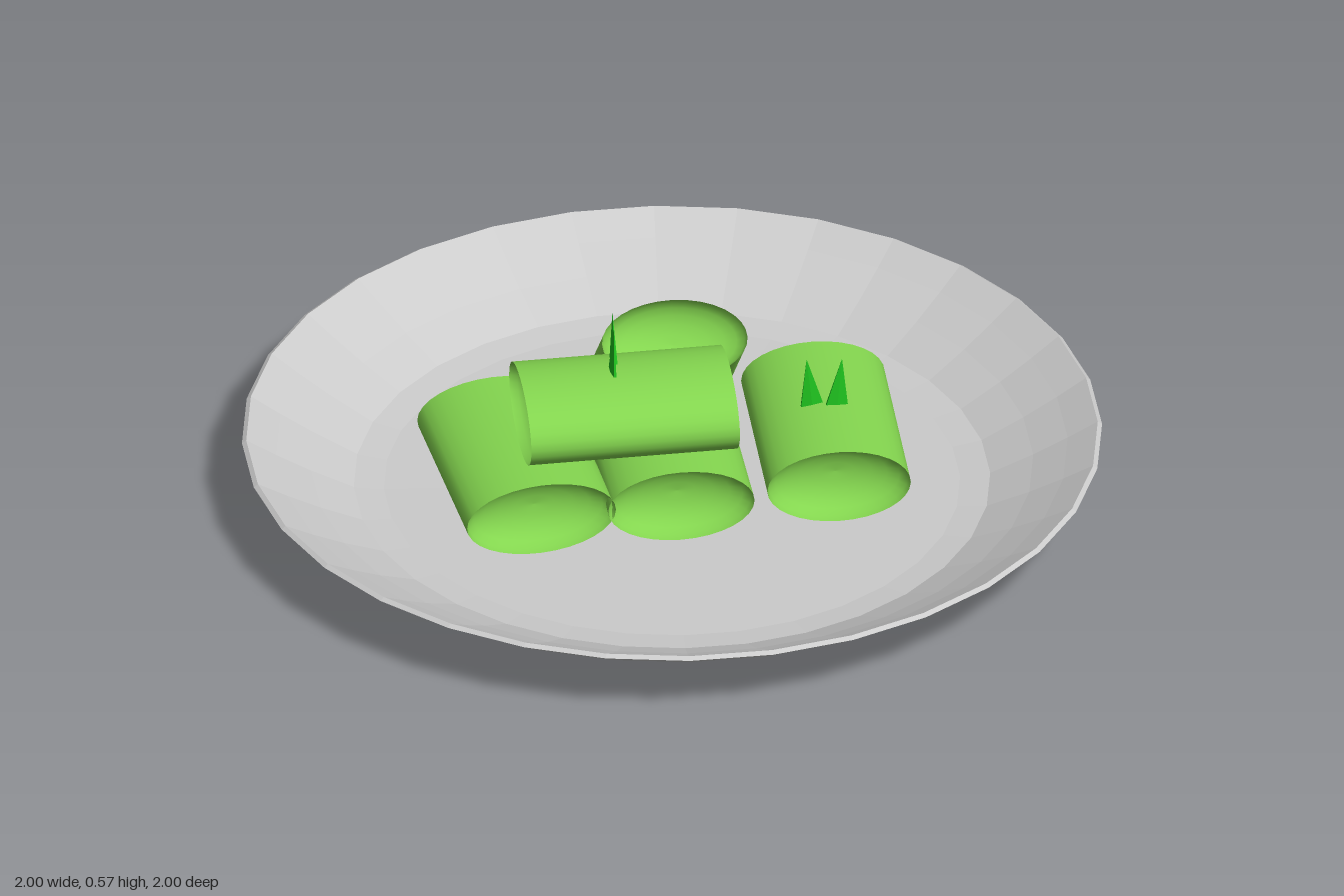
import * as THREE from 'three';
import { mergeGeometries } from 'three/addons/utils/BufferGeometryUtils.js';

const rad = THREE.MathUtils.degToRad;
const rollLength = 0.49;

// Oval roll lying along z, with both ends hollowed
function rollGeometry() {
  const half = rollLength / 2, depth = 0.07;
  const side = new THREE.CylinderGeometry(1, 1, rollLength, 32, 1, true);
  const dish = [];
  for (let i = 0; i <= 6; i++) {
    const a = (i / 6) * Math.PI / 2;
    dish.push(new THREE.Vector2(i === 6 ? 0 : Math.cos(a), half - depth * Math.sin(a)));
  }
  const top = new THREE.LatheGeometry(dish, 32);
  const bottom = top.clone().rotateX(Math.PI);
  return mergeGeometries([side, top, bottom]).rotateX(Math.PI / 2);
}

export function createModel() {
  const group = new THREE.Group();
  const grey = new THREE.MeshStandardMaterial({ color: 0xcccccc, flatShading: true });
  const rollGreen = new THREE.MeshStandardMaterial({ color: 0x84d64f, side: THREE.DoubleSide });
  const leafGreen = new THREE.MeshStandardMaterial({ color: 0x1fc41f, flatShading: true });

  // Plate: underside, rim, then the inner slope and floor
  const profile = [
    [0, 0.015], [0.63, 0.015], [0.72, 0.022], [0.84, 0.08], [0.93, 0.13], [1, 0.177],
    [0.99, 0.184], [0.92, 0.142], [0.84, 0.098], [0.74, 0.05], [0.67, 0.042], [0, 0.04],
  ].map(([x, y]) => new THREE.Vector2(x, y));
  const plate = new THREE.Mesh(new THREE.LatheGeometry(profile, 32), grey);
  plate.name = 'plate';
  group.add(plate);

  // Rolls: name, centre, turn, tilt, half width, half height
  const base = rollGeometry();
  const rolls = [
    ['rightRoll', [-0.38, 0.168, 0.035], 0, 0, 0.178, 0.092],
    ['middleRoll', [-0.03, 0.17, 0.06], -5, 0, 0.172, 0.092],
    ['leftRoll', [0.345, 0.19, 0.095], -6.5, 0, 0.168, 0.094],
    ['topRoll', [-0.145, 0.355, 0.13], 85, 0, 0.172, 0.095],
    ['leaningRoll', [0.045, 0.236, -0.235], -8, -41, 0.17, 0.096],
  ];
  for (const [name, centre, turn, tilt, w, h] of rolls) {
    const roll = new THREE.Mesh(base.clone().scale(w, h, 1), rollGreen);
    roll.name = name;
    roll.position.set(...centre);
    roll.rotation.set(rad(tilt), rad(turn), 0, 'YXZ');
    group.add(roll);
  }

  // Pairs of thin pointed leaves
  const leafShape = new THREE.ConeGeometry(0.036, 0.15, 6).scale(1, 1, 0.22);
  const addLeaves = (name, centre, turn) => {
    const pair = new THREE.Group();
    pair.name = name;
    for (const s of [-1, 1]) {
      const leaf = new THREE.Mesh(leafShape, leafGreen);
      leaf.name = 'leaf';
      leaf.position.set(s * 0.033, 0.06, s * 0.008);
      leaf.rotation.z = -s * 0.1;
      pair.add(leaf);
    }
    pair.position.set(...centre);
    pair.rotation.y = rad(turn);
    group.add(pair);
  };
  addLeaves('leftLeaves', [0.335, 0.27, 0.12], 0);
  addLeaves('topLeaves', [-0.165, 0.435, 0.1], 90);
  return group;
}
